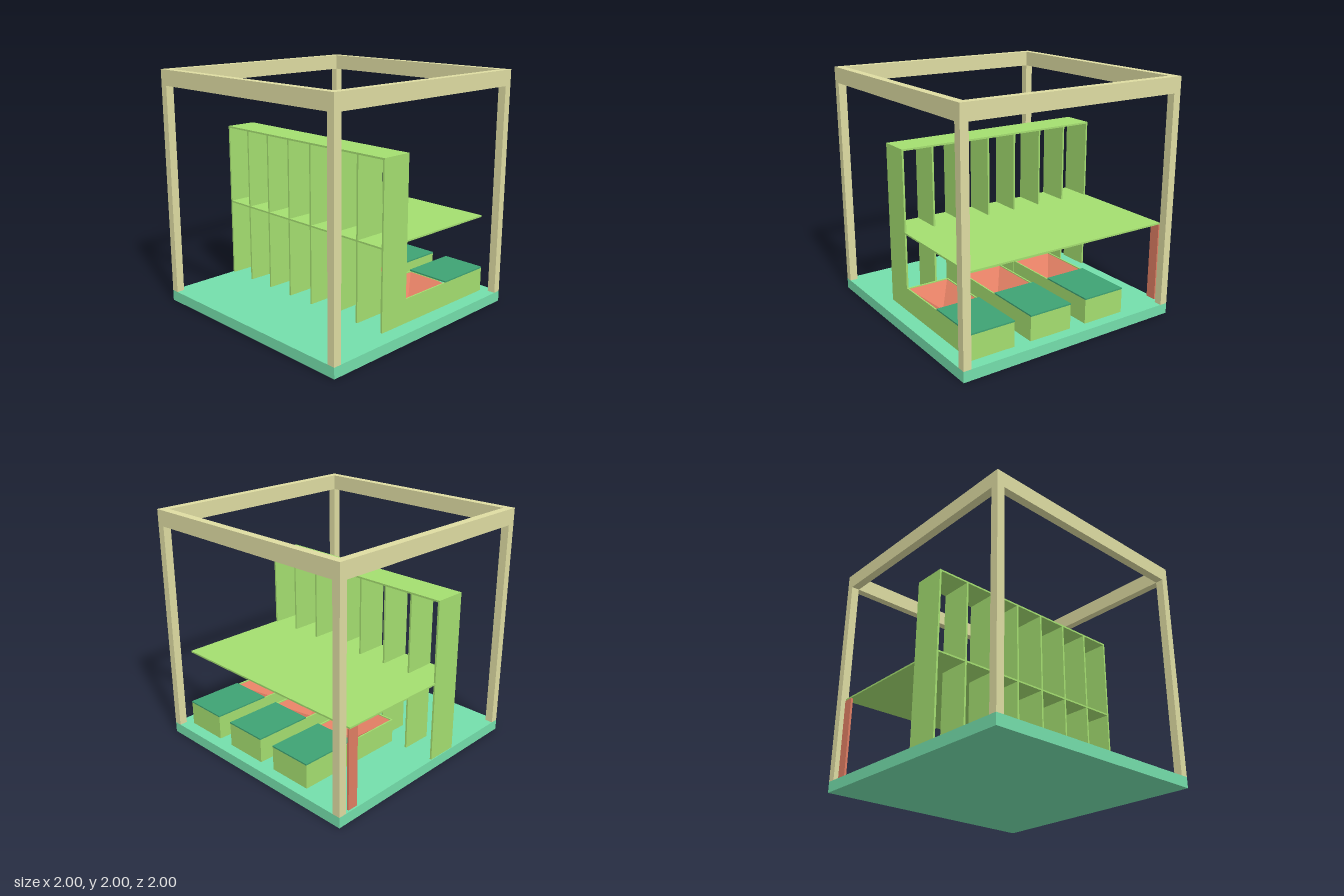
import * as THREE from 'three';

const mat = (color) => new THREE.MeshStandardMaterial({ color });
const CREAM = mat(0xdedca2), MINT = mat(0x74deab), GREEN = mat(0xa4de70);
const RED = mat(0xe07e63), DARK = mat(0x3ea374);
const REDOPEN = RED.clone();
REDOPEN.side = THREE.DoubleSide;
REDOPEN.flatShading = true;

// Box given by its min and max on each axis
function block(parent, name, material, x0, x1, y0, y1, z0, z1) {
  const mesh = new THREE.Mesh(new THREE.BoxGeometry(x1 - x0, y1 - y0, z1 - z0), material);
  mesh.position.set((x0 + x1) / 2, (y0 + y1) / 2, (z0 + z1) / 2);
  mesh.name = name;
  parent.add(mesh);
  return mesh;
}

// Four-sided hopper with its point downwards, open at the top
function hopper(parent, x0, x1, yTop, yTip, z0, z1) {
  const geo = new THREE.ConeGeometry(Math.SQRT1_2, 1, 4, 1, true);
  geo.rotateY(Math.PI / 4);
  geo.rotateX(Math.PI);
  const mesh = new THREE.Mesh(geo, REDOPEN);
  mesh.scale.set(x1 - x0, yTop - yTip, z1 - z0);
  mesh.position.set((x0 + x1) / 2, (yTop + yTip) / 2, (z0 + z1) / 2);
  mesh.name = 'hopper';
  parent.add(mesh);
}

export function createModel() {
  const model = new THREE.Group();
  model.name = 'framedShelfUnit';
  const floor = 0.09, w = 0.067;

  // Floor slab
  block(model, 'floorSlab', MINT, -1, 1, 0, floor, -1, 1);

  // Open frame: corner posts and top beams
  const frame = new THREE.Group();
  frame.name = 'frame';
  model.add(frame);
  for (const s of [-1, 1]) {
    const a = s < 0 ? -1 : 1 - w;
    for (const t of [-1, 1]) {
      const b = t < 0 ? -1 : 1 - w;
      block(frame, 'post', CREAM, a, a + w, floor, 1.87, b, b + w);
    }
    block(frame, 'crossBeam', CREAM, -1, 1, 1.87, 2, a, a + w);
    block(frame, 'sideBeam', CREAM, a, a + w, 1.87, 2, -1 + w, 1 - w);
  }

  // Furniture stands very slightly turned on the floor
  const unit = new THREE.Group();
  unit.name = 'furniture';
  unit.rotation.y = -0.007;
  model.add(unit);
  const back = -0.354, front = -0.083, zBack = -0.992, zFront = 0.868, t = 0.016;

  // Shelf uprights, top board and the long table board
  const pitch = (zFront - zBack - t) / 7;
  for (let i = 0; i < 8; i++) {
    const z = zBack + i * pitch;
    block(unit, 'upright', GREEN, back, front, floor, 1.44, z, z + t);
  }
  block(unit, 'topBoard', GREEN, back, front, 1.44, 1.455, zBack, zFront);
  block(unit, 'tableBoard', GREEN, back, 0.876, 0.76, 0.774, zBack, zFront);

  // Table leg panel
  block(unit, 'tableLeg', RED, 0.793, 0.882, floor, 0.76, zBack, zBack + 0.018);

  // Three bins, each with a hopper and a lid over the front half
  for (const z1 of [0.868, 0.338, -0.192]) {
    const bin = new THREE.Group();
    bin.name = 'bin';
    unit.add(bin);
    const z0 = z1 - 0.382, x1 = 0.905, k = 0.012, top = 0.294;
    block(bin, 'binSide', GREEN, front, x1, floor, top, z1 - k, z1);
    block(bin, 'binSide', GREEN, front, x1, floor, top, z0, z0 + k);
    block(bin, 'binEnd', GREEN, x1 - k, x1, floor, top, z0 + k, z1 - k);
    block(bin, 'binBack', GREEN, front, front + k, floor, top, z0 + k, z1 - k);
    block(bin, 'lid', DARK, 0.41, x1 + 0.002, top, 0.306, z0, z1);
    hopper(bin, front + k, 0.41, top - 0.008, 0.15, z0 + k, z1 - k);
  }
  return model;
}
